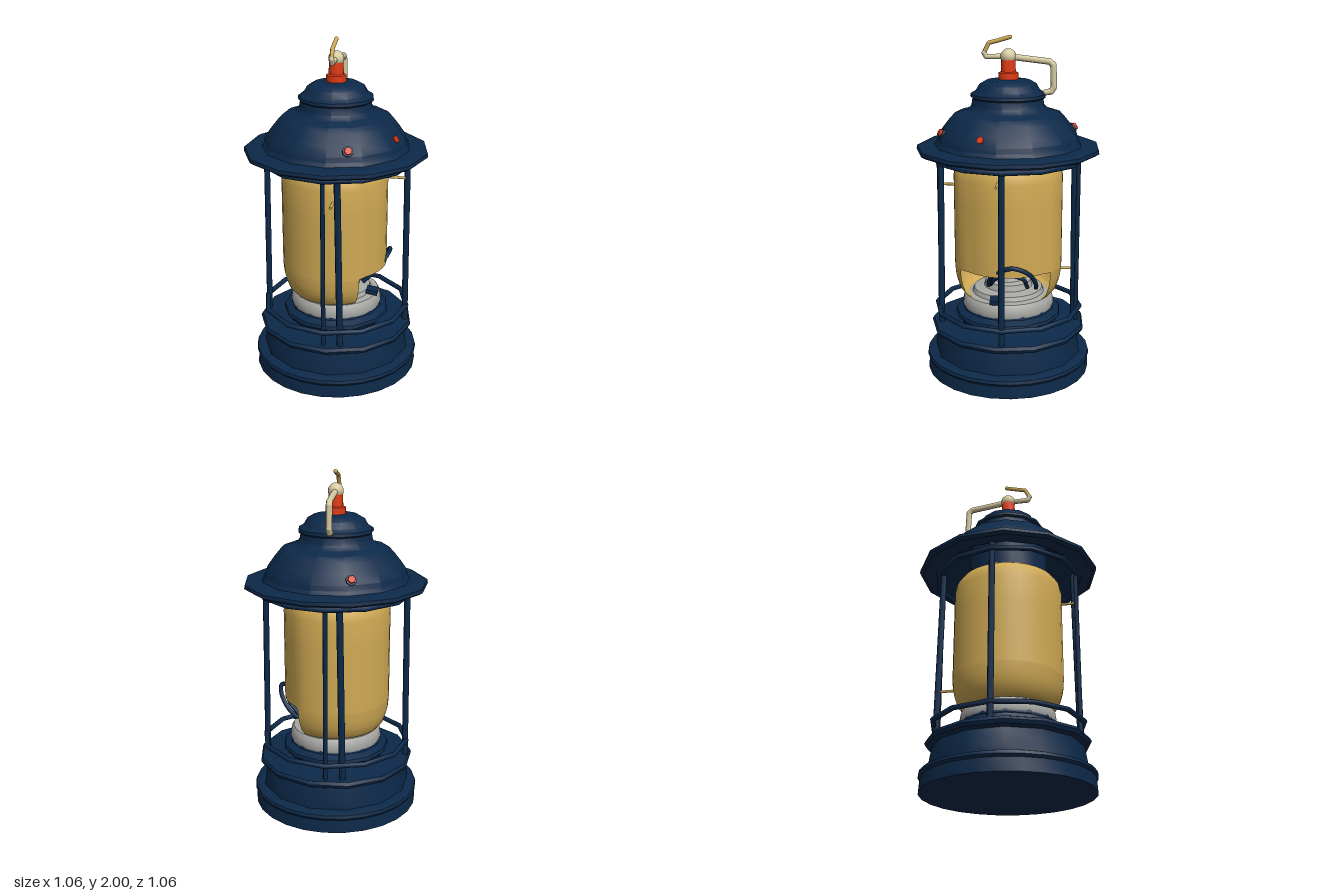
import * as THREE from 'three';
import { toCreasedNormals } from 'three/addons/utils/BufferGeometryUtils.js';

const material = (name, color, side = THREE.FrontSide) => {
  const m = new THREE.MeshStandardMaterial({ color, side });
  m.name = name;
  return m;
};

export function createModel() {
  const navy = material('navy paint', 0x0c2949);
  const amber = material('amber glass', 0xd0aa54, THREE.DoubleSide);
  const grey = material('grey metal', 0xa9a9a6);
  const red = material('red fittings', 0xe03a12);
  const cream = material('cream hook', 0xd6cba2);

  const model = new THREE.Group();
  const add = (name, geometry, mat, parent = model) => {
    const mesh = new THREE.Mesh(geometry, mat);
    mesh.name = name;
    parent.add(mesh);
    return mesh;
  };
  const lathe = (profile, sides, start = 0, length = Math.PI * 2) =>
    new THREE.LatheGeometry(profile.map(([r, y]) => new THREE.Vector2(r, y)), sides, start, length);
  const turned = (name, profile, sides, mat, start = 0) =>
    add(name, toCreasedNormals(lathe(profile, sides, start), 0.6), mat);
  const vec = (p) => new THREE.Vector3(...p);

  // Round rod between two points
  const rod = (name, a, b, radius, mat, sides = 8) => {
    const from = vec(a), to = vec(b), dir = to.clone().sub(from);
    const mesh = add(name, new THREE.CylinderGeometry(radius, radius, dir.length(), sides), mat);
    mesh.position.copy(from).add(to).multiplyScalar(0.5);
    mesh.quaternion.setFromUnitVectors(new THREE.Vector3(0, 1, 0), dir.normalize());
    return mesh;
  };
  // Bent rod with a ball at each corner
  const bentRod = (name, points, radius, mat) => {
    points.forEach((p, i) => {
      add(name + 'Joint', new THREE.SphereGeometry(radius, 10, 8), mat).position.set(...p);
      if (i) rod(name, points[i - 1], p, radius, mat);
    });
  };
  const wire = (name, points, radius, mat) =>
    add(name, new THREE.TubeGeometry(new THREE.CatmullRomCurve3(points.map(vec)), 28, radius, 7), mat);

  // Base
  turned('baseFoot', [[0, 0], [0.49, 0], [0.485, 0.075], [0.495, 0.09], [0.49, 0.108],
    [0.455, 0.12], [0, 0.12]], 26, navy);
  turned('baseTank', [[0.445, 0.11], [0.44, 0.16], [0.425, 0.25], [0.455, 0.26], [0.465, 0.28],
    [0.455, 0.298], [0.32, 0.305], [0.295, 0.315], [0.3, 0.33], [0.32, 0.345], [0.315, 0.365],
    [0.275, 0.385], [0.27, 0.41], [0, 0.41]], 13, navy, 0.05);

  // Burner, stepped towards the top
  turned('burner', [[0.27, 0.395], [0.275, 0.41], [0.268, 0.455], [0.255, 0.475], [0.215, 0.48],
    [0.205, 0.505], [0.145, 0.515], [0.135, 0.55], [0.1, 0.56], [0.09, 0.59], [0.06, 0.6],
    [0.055, 0.63], [0, 0.63]], 24, grey);
  const knob = add('burnerKnob', new THREE.BoxGeometry(0.07, 0.025, 0.07), navy);
  knob.position.set(0.23, 0.495, 0.05);
  knob.rotation.z = -0.15;
  rod('burnerKnobStem', [0.15, 0.48, 0.04], [0.23, 0.495, 0.05], 0.012, navy);

  // Glass, cut away low on the left side and slightly flattened above the cut
  const deg = Math.PI / 180;
  const upper = lathe([[0.32, 0.66], [0.32, 1.04], [0.32, 1.2], [0.31, 1.25], [0.285, 1.285],
    [0.24, 1.305], [0.22, 1.34]], 36, 5 * deg);
  const pos = upper.attributes.position;
  for (let i = 0; i < pos.count; i++) {
    const x = pos.getX(i), z = pos.getZ(i);
    if (x > 0.19) pos.setXYZ(i, x * 0.95, pos.getY(i), z * 0.95);
  }
  add('glassUpper', toCreasedNormals(upper, 0.6), amber);
  add('glassLower', toCreasedNormals(lathe([[0.23, 0.475], [0.265, 0.485], [0.29, 0.515],
    [0.305, 0.56], [0.315, 0.6], [0.32, 0.66]], 25, 145 * deg, 250 * deg), 0.6), amber);

  // Lifting wires in the cutaway
  wire('outerWire', [[0.18, 0.57, 0.1], [0.25, 0.64, 0.08], [0.31, 0.71, 0], [0.32, 0.725, -0.06],
    [0.3, 0.69, -0.14], [0.25, 0.62, -0.18], [0.2, 0.57, -0.18]], 0.013, navy);
  wire('innerWire', [[0.17, 0.57, 0.09], [0.23, 0.63, 0.05], [0.28, 0.67, -0.03],
    [0.26, 0.64, -0.11], [0.2, 0.57, -0.13]], 0.012, navy);

  // Cage rails and posts
  for (const [name, y] of [['lowerRail', 0.388], ['upperRail', 1.302]]) {
    const rail = add(name, new THREE.TorusGeometry(0.432, 0.015, 8, 12), navy);
    rail.rotation.x = Math.PI / 2;
    rail.position.y = y;
  }
  for (const s of [1, -1]) {
    rod('sidePost', [s * 0.425, 0.28, 0], [s * 0.415, 1.35, 0], 0.018, navy);
    rod('thinPost', [0, 0.28, s * 0.41], [0, 1.35, s * 0.41], 0.013, navy);
    rod('thickPost', [s * 0.095, 0.28, s * 0.395], [s * 0.075, 1.35, s * 0.385], 0.019, navy);
  }

  // Glass retaining pins
  rod('sidePin', [0.29, 1.215, 0.03], [0.41, 1.215, 0.03], 0.008, amber);
  rod('frontPin', [0.04, 1.14, 0.3], [0.04, 1.14, 0.4], 0.008, amber);
  rod('backPin', [-0.09, 0.595, -0.29], [-0.09, 0.595, -0.4], 0.008, amber);

  // Roof with a hollow underside, and the collar that holds the glass
  turned('roof', [[0, 1.55], [0.2, 1.54], [0.32, 1.47], [0.385, 1.365], [0.42, 1.345], [0.515, 1.335],
    [0.535, 1.348], [0.532, 1.368], [0.51, 1.378], [0.43, 1.38], [0.415, 1.4], [0.41, 1.43],
    [0.375, 1.48], [0.335, 1.53], [0.305, 1.562], [0.235, 1.58], [0.212, 1.605], [0.205, 1.645],
    [0.218, 1.655], [0.215, 1.672], [0.185, 1.69], [0.165, 1.725], [0.125, 1.748], [0, 1.757]],
  13, navy, 0.05);
  turned('glassCollar', [[0.235, 1.3], [0.235, 1.55]], 20, navy);

  // Roof bolts
  for (const [x, z] of [[0.125, 0.35], [0.33, 0.11], [-0.13, -0.355]]) {
    const bolt = new THREE.Group();
    bolt.name = 'roofBolt';
    const out = new THREE.Vector3(x, 0.22, z).normalize();
    bolt.position.set(x, 1.447, z);
    bolt.quaternion.setFromUnitVectors(new THREE.Vector3(0, 1, 0), out);
    model.add(bolt);
    add('boltSeat', new THREE.CylinderGeometry(0.03, 0.034, 0.05, 8), navy, bolt);
    add('boltHead', new THREE.CylinderGeometry(0.021, 0.023, 0.03, 6), red, bolt).position.y = 0.026;
  }

  // Finial and hanging hook
  turned('finial', [[0.057, 1.745], [0.057, 1.79], [0.043, 1.795], [0.04, 1.875], [0, 1.875]], 14, red);
  add('hookBall', new THREE.SphereGeometry(0.045, 14, 10), cream).position.set(0, 1.88, 0);
  bentRod('rearHook', [[0, 1.88, 0], [0, 1.853, -0.235], [0, 1.835, -0.255], [0, 1.71, -0.26],
    [0, 1.685, -0.245], [0, 1.68, -0.215]], 0.018, cream);
  bentRod('frontArm', [[0, 1.88, 0], [0, 1.878, 0.125], [0, 1.9, 0.138]], 0.015, cream);
  bentRod('frontHook', [[0, 1.9, 0.138], [0, 1.955, 0.11], [0, 1.968, 0.06], [0, 1.988, -0.01]],
    0.012, amber);

  return model;
}
